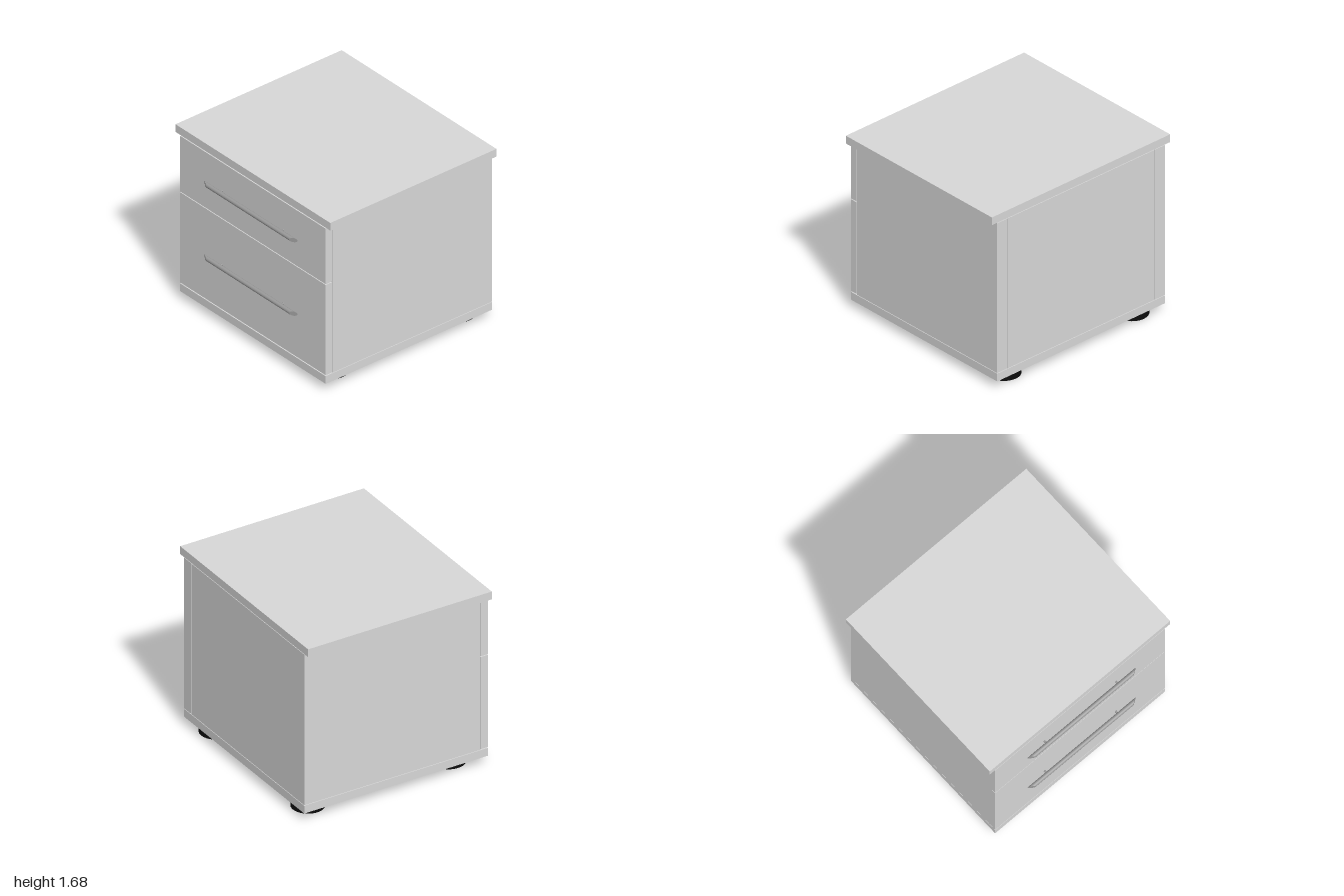
import * as THREE from 'three';

export function createModel() {
  const model = new THREE.Group();
  model.name = 'bedsideCabinet';

  const makeMaterial = (name, color) => {
    const m = new THREE.MeshStandardMaterial({ color });
    m.name = name;
    return m;
  };
  const panel = makeMaterial('pale grey panel', 0xd8d8d8);
  const metal = makeMaterial('grey metal', 0x9a9a9a);
  const black = makeMaterial('black plastic', 0x0c0c0c);

  const add = (name, geometry, material, parent = model) => {
    const mesh = new THREE.Mesh(geometry, material);
    mesh.name = name;
    parent.add(mesh);
    return mesh;
  };
  // Box given by its lower and upper limits on each axis
  const board = (name, [x0, x1], [y0, y1], [z0, z1]) => {
    const mesh = add(name, new THREE.BoxGeometry(x1 - x0, y1 - y0, z1 - z0), panel);
    mesh.position.set((x0 + x1) / 2, (y0 + y1) / 2, (z0 + z1) / 2);
  };

  // Carcass, with narrow shadow gaps between the boards
  board('topBoard', [-1, 1], [1.605, 1.68], [-0.93, 0.865]);
  board('baseBoard', [-0.94, 0.94], [0.075, 0.15], [-0.93, 0.865]);
  board('leftSide', [0.83, 0.94], [0.155, 1.6], [-0.93, 0.792]);
  board('rightSide', [-0.94, -0.83], [0.155, 1.6], [-0.93, 0.792]);
  board('backPanel', [-0.825, 0.825], [0.155, 1.6], [-0.93, -0.855]);

  // Drawer fronts
  board('lowerDrawerFront', [-0.94, 0.94], [0.16, 1.043], [0.797, 0.865]);
  board('upperDrawerFront', [-0.94, 0.94], [1.051, 1.595], [0.797, 0.865]);

  // Round bar whose ends are cut at a slant, longest at the back
  const barGeometry = new THREE.CylinderGeometry(0.02, 0.02, 2, 32).rotateZ(Math.PI / 2);
  const p = barGeometry.attributes.position;
  for (let i = 0; i < p.count; i++) {
    p.setX(i, Math.sign(p.getX(i)) * (0.57 - 1.5 * p.getZ(i)));
  }
  barGeometry.computeVertexNormals();
  const postGeometry = new THREE.CylinderGeometry(0.009, 0.009, 0.035, 16).rotateX(Math.PI / 2);

  for (const [name, y] of [['upperHandle', 1.32], ['lowerHandle', 0.6]]) {
    const handle = new THREE.Group();
    handle.name = name;
    handle.position.set(0, y, 0.905);
    add('handleBar', barGeometry, metal, handle);
    for (const x of [-0.395, 0.395]) {
      add('handlePost', postGeometry, metal, handle).position.set(x, 0, -0.03);
    }
    model.add(handle);
  }

  // Round feet
  const footGeometry = new THREE.CylinderGeometry(0.146, 0.146, 0.075, 48);
  for (const x of [-0.725, 0.71]) {
    for (const z of [-0.76, 0.615]) {
      add('foot', footGeometry, black).position.set(x, 0.0375, z);
    }
  }
  return model;
}
